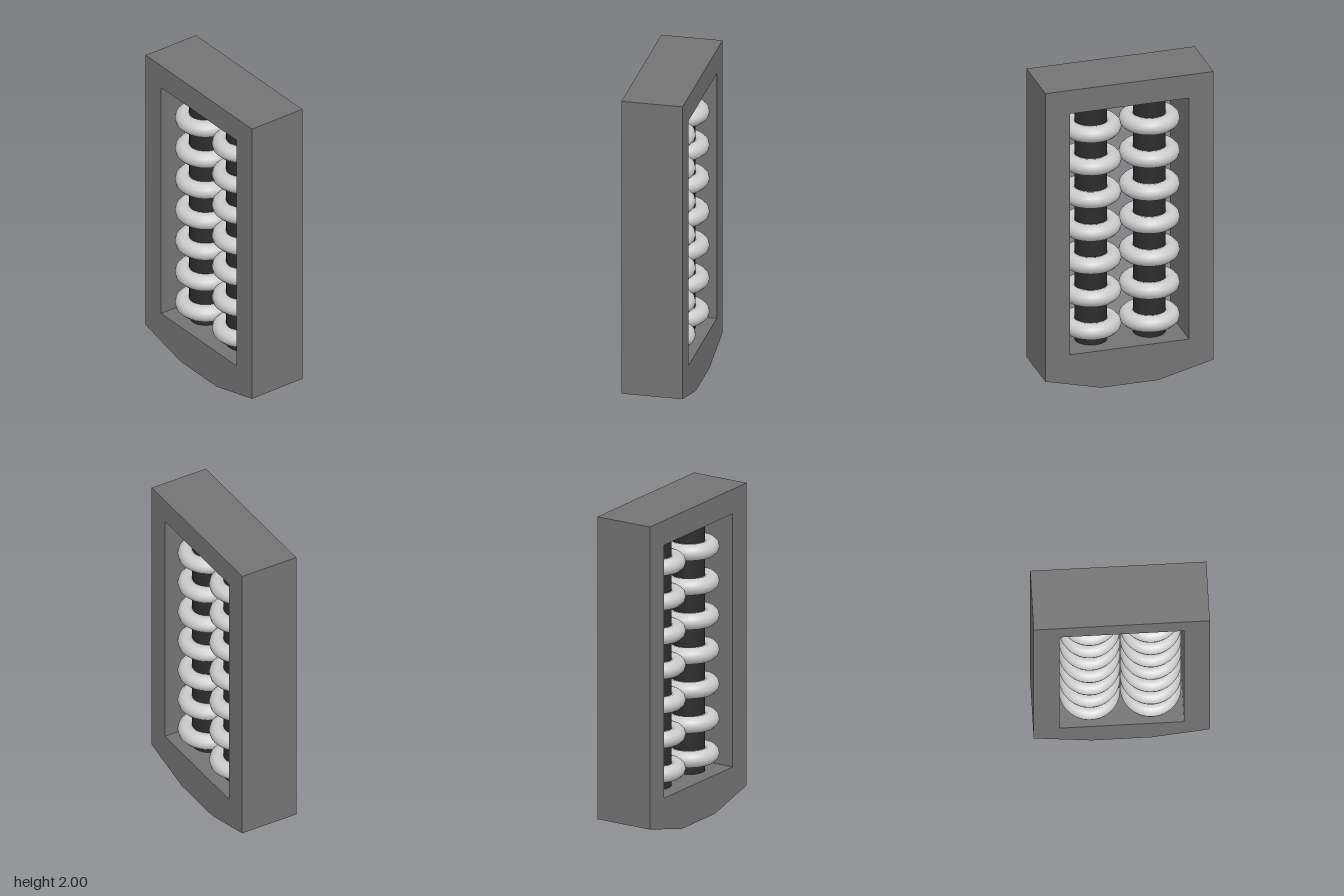
import * as THREE from 'three';

const mat = (color) => new THREE.MeshStandardMaterial({ color });

function add(parent, name, geometry, material, x = 0, y = 0, z = 0) {
  const mesh = new THREE.Mesh(geometry, material);
  mesh.name = name;
  mesh.position.set(x, y, z);
  parent.add(mesh);
  return mesh;
}

export function createModel() {
  const model = new THREE.Group();
  model.name = 'beadFrame';
  const frameMat = mat(0x747474);
  const rodMat = mat(0x2c2c2c);
  const ringMat = mat(0xcccccc);

  const depth = 0.38;
  const bottom = 0.245, top = 1.845; // opening heights
  const inner = 0.377;               // opening half width

  // Frame: tapered foot at the bottom, rectangular window through it
  const outline = new THREE.Shape([
    [-0.18, 0], [0.18, 0], [0.532, 0.088], [0.532, 2], [-0.532, 2], [-0.532, 0.088],
  ].map(([x, y]) => new THREE.Vector2(x, y)));
  outline.holes.push(new THREE.Path([
    [-inner, bottom], [-inner, top], [inner, top], [inner, bottom],
  ].map(([x, y]) => new THREE.Vector2(x, y))));
  const frameGeo = new THREE.ExtrudeGeometry(outline, { depth, bevelEnabled: false });
  add(model, 'frame', frameGeo, frameMat, 0, 0, -depth / 2);

  // Two upright rods, each threaded with seven rings
  const rodGeo = new THREE.CylinderGeometry(0.099, 0.099, top - bottom, 32);
  const ringGeo = new THREE.TorusGeometry(0.133, 0.052, 12, 48).rotateX(Math.PI / 2);
  for (const side of [-1, 1]) {
    const column = new THREE.Group();
    column.name = side > 0 ? 'leftColumn' : 'rightColumn';
    column.position.x = side * 0.185;
    add(column, 'rod', rodGeo, rodMat, 0, (bottom + top) / 2);
    for (let i = 0; i < 7; i++) {
      add(column, 'ring', ringGeo, ringMat, 0, 0.352 + i * 0.218);
    }
    model.add(column);
  }
  return model;
}
